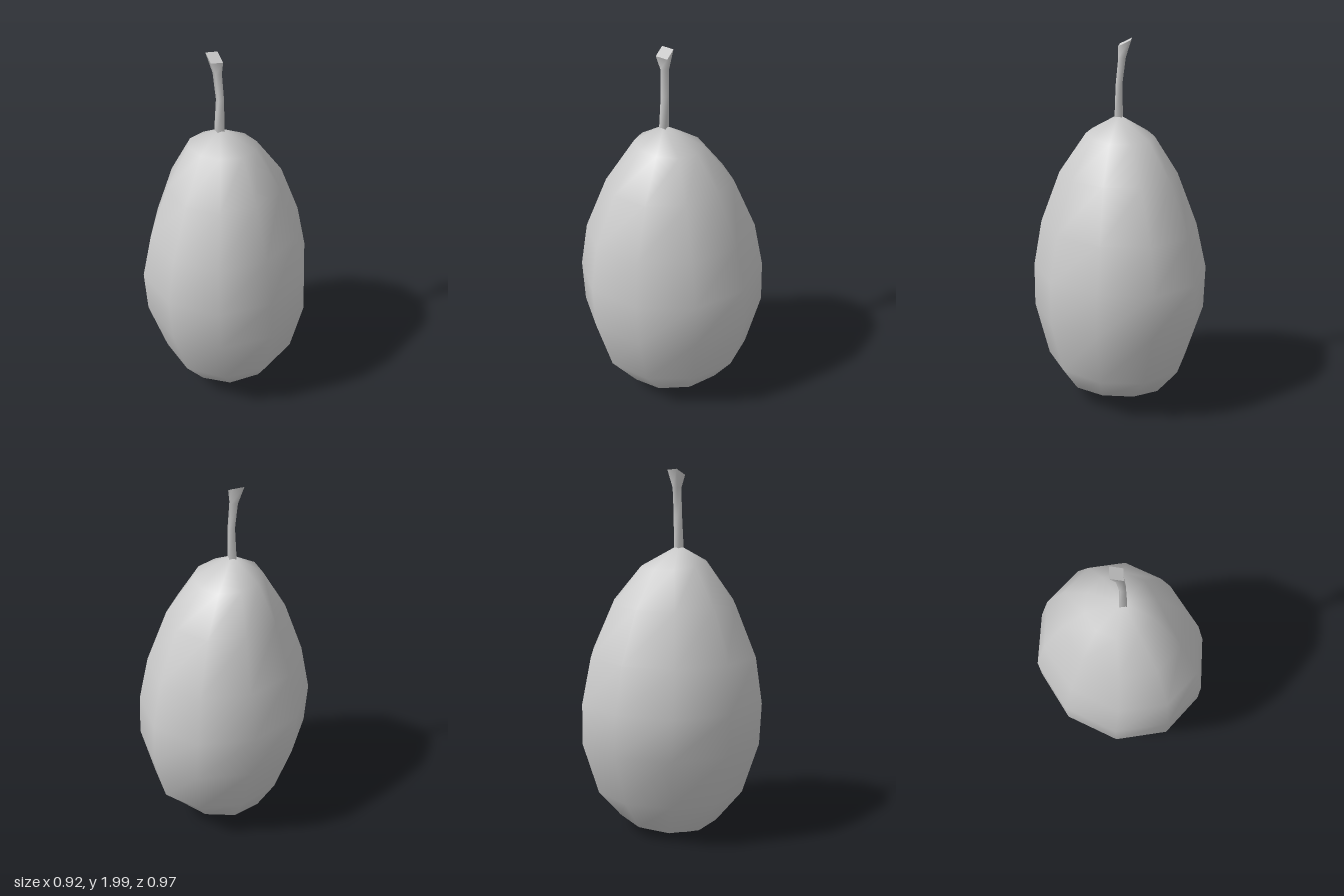
import * as THREE from 'three';

// Skin a stack of rings (arrays of [x, y, z], bottom to top); optional end points close it.
function loft(rings, bottom, top) {
  const n = rings[0].length, points = rings.flat(), index = [];
  rings.slice(1).forEach((_, r) => {
    for (let i = 0; i < n; i++) {
      const a = r * n + i, b = r * n + (i + 1) % n;
      index.push(a, a + n, b, b, a + n, b + n);
    }
  });
  if (bottom) {
    const c = points.push(bottom) - 1;
    for (let i = 0; i < n; i++) index.push(c, i, (i + 1) % n);
  }
  if (top) {
    const c = points.push(top) - 1, s = (rings.length - 1) * n;
    for (let i = 0; i < n; i++) index.push(s + i, c, s + (i + 1) % n);
  }
  const g = new THREE.BufferGeometry();
  g.setAttribute('position', new THREE.Float32BufferAttribute(points.flat(), 3));
  g.setIndex(index);
  g.computeVertexNormals();
  return g;
}

// Elliptical ring; tilt(x, z) adds height relative to the ring centre.
function ring(sides, y, cx, cz, rx, rz, tilt = () => 0) {
  return Array.from({ length: sides }, (_, i) => {
    const a = (i / sides) * Math.PI * 2;
    const x = rx * Math.cos(a), z = rz * Math.sin(a);
    return [cx + x, y + tilt(x, z), cz + z];
  });
}

export function createModel() {
  const group = new THREE.Group();
  const material = new THREE.MeshStandardMaterial({ color: 0xcccccc, side: THREE.DoubleSide });
  const add = (name, geometry) => {
    const mesh = new THREE.Mesh(geometry, material);
    mesh.name = name;
    group.add(mesh);
  };

  // Fruit: ten-sided egg with a lopsided, dimpled base
  const base = (x, z) => 0.07 * x - 0.12 * z + 0.7 * x * x;
  const body = [
    ring(10, 0.026, 0.02, 0, 0.2, 0.13, base),
    ring(10, 0.085, 0.03, -0.015, 0.27, 0.28, (x, z) => 0.1 * x - 0.06 * z),
    ring(10, 0.24, 0.02, -0.005, 0.365, 0.415),
    ring(10, 0.53, 0.005, -0.003, 0.45, 0.503),
    ring(10, 0.76, -0.005, 0.003, 0.455, 0.507),
    ring(10, 1.01, -0.003, 0.01, 0.402, 0.463),
    ring(10, 1.29, -0.005, 0.015, 0.305, 0.342),
    ring(10, 1.495, -0.017, 0.015, 0.183, 0.184, (x, z) => 0.08 * z),
  ];
  add('fruitBody', loft(body, [0.02, 0.09, 0], [-0.025, 1.6, 0.04]));

  // Stem: bent four-sided stalk, flared at the cut end
  const cut = (x, z) => -0.42 * x - 0.28 * z;
  const end = ring(4, 1.98, -0.057, 0.026, 0.047, 0.046, cut);
  add('stem', loft([
    ring(4, 1.585, -0.026, 0.04, 0.028, 0.026),
    ring(4, 1.76, -0.024, 0.035, 0.022, 0.022),
    ring(4, 1.9, -0.04, 0.03, 0.025, 0.023),
    end,
  ]));
  add('stemCut', loft([end], null, [-0.057, 1.98, 0.026]));

  return group;
}
